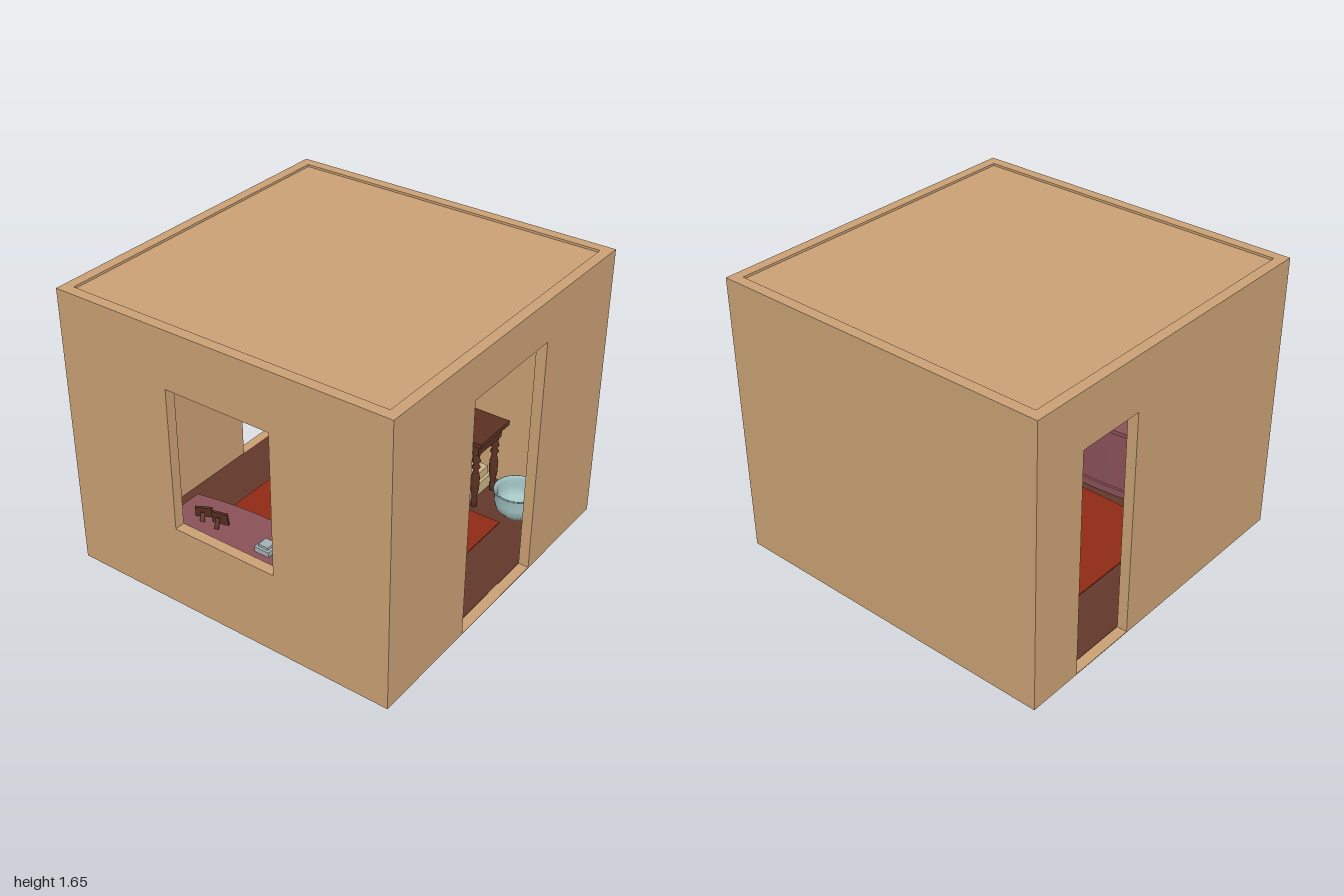
import * as THREE from 'three';

const WALL = 0xc9a074, FLOOR = 0x62382a, DARK = 0x5a3022, OLIVE = 0xb0a83c;
const FLOOR_Y = 0.014;

const mat = (color, side = THREE.FrontSide) => new THREE.MeshStandardMaterial({ color, side });

function add(parent, name, geo, color, x = 0, y = 0, z = 0, side) {
  const m = new THREE.Mesh(geo, mat(color, side));
  m.name = name;
  m.position.set(x, y, z);
  parent.add(m);
  return m;
}

// box placed by its min and max corners
function box(parent, name, a, b, color) {
  const s = b.map((v, i) => v - a[i]), c = b.map((v, i) => (v + a[i]) / 2);
  return add(parent, name, new THREE.BoxGeometry(...s), color, ...c);
}

const lathe = (pts, n = 24) => new THREE.LatheGeometry(pts.map(p => new THREE.Vector2(...p)), n);

function group(parent, name, x = 0, y = 0, z = 0) {
  const g = new THREE.Group();
  g.name = name;
  g.position.set(x, y, z);
  parent.add(g);
  return g;
}

// wall outline, with a doorway cut up from the floor
function doorWall(z0, z1, top) {
  const pts = [[-0.94, 0.006], [-z1, 0.006], [-z1, top], [-z0, top], [-z0, 0.006], [0.94, 0.006], [0.94, 1.655], [-0.94, 1.655]];
  const geo = new THREE.ExtrudeGeometry(new THREE.Shape(pts.map(p => new THREE.Vector2(...p))), { depth: 0.06, bevelEnabled: false });
  return geo.rotateY(Math.PI / 2);
}

function buildRoom(root) {
  const room = group(root, 'room');
  // front wall with window
  const s = new THREE.Shape([[-1, 0.006], [1, 0.006], [1, 1.655], [-1, 1.655]].map(p => new THREE.Vector2(...p)));
  s.holes.push(new THREE.Path([[-0.315, 0.495], [-0.315, 1.325], [0.315, 1.325], [0.315, 0.495]].map(p => new THREE.Vector2(...p))));
  add(room, 'frontWall', new THREE.ExtrudeGeometry(s, { depth: 0.06, bevelEnabled: false }), WALL, 0, 0, 0.94);
  box(room, 'backWall', [-1, 0.006, -1], [1, 1.655, -0.94], WALL);
  add(room, 'leftWall', doorWall(-0.333, 0.333, 1.415), WALL, 0.94);
  add(room, 'rightWall', doorWall(-0.675, -0.265, 1.34), WALL, -1);
  box(room, 'leftThreshold', [0.94, 0.006, -0.333], [1, 0.011, 0.333], WALL);
  box(room, 'rightThreshold', [-1, 0.006, -0.675], [-0.94, 0.011, -0.265], WALL);
  box(room, 'floor', [-0.94, 0.008, -0.94], [0.94, FLOOR_Y, 0.94], FLOOR);
  box(room, 'ceiling', [-0.94, 1.635, -0.94], [0.94, 1.642, 0.94], WALL);
  box(room, 'rug', [-0.64, FLOOR_Y, -0.58], [0.67, 0.02, 0.58], 0x8f2a16);
}

function buildTable(root) {
  const t = group(root, 'table');
  box(t, 'tableTop', [-0.14, 0.455, -0.89], [0.52, 0.482, -0.58], DARK);
  box(t, 'tableApron', [-0.11, 0.38, -0.86], [0.49, 0.455, -0.61], DARK);
  const leg = lathe([[0, 0], [0.015, 0], [0.02, 0.04], [0.014, 0.06], [0.024, 0.12], [0.026, 0.2], [0.014, 0.25],
    [0.026, 0.27], [0.014, 0.29], [0.026, 0.31], [0.02, 0.33], [0.02, 0.38]], 16);
  for (const x of [-0.085, 0.465]) for (const z of [-0.835, -0.635]) add(t, 'tableLeg', leg, DARK, x, FLOOR_Y, z);
  // stacked boxes under the table
  box(t, 'lowerStorageBox', [0.14, FLOOR_Y, -0.88], [0.43, 0.09, -0.66], 0xc9b083);
  box(t, 'upperStorageBox', [0.17, 0.09, -0.87], [0.41, 0.14, -0.69], 0xc9b083);
}

function buildLamp(root) {
  const l = group(root, 'tableLamp', 0.122, 0.482, -0.77);
  add(l, 'lampStand', lathe([[0, 0], [0.035, 0], [0.035, 0.012], [0.014, 0.03], [0.017, 0.06], [0.009, 0.17], [0.015, 0.2],
    [0.009, 0.215], [0.009, 0.3], [0, 0.3]], 20), OLIVE);
  add(l, 'lampShade', lathe([[0.123, 0.237], [0.116, 0.275], [0.085, 0.325], [0.05, 0.375], [0.022, 0.4], [0, 0.407]], 32),
    OLIVE, 0, 0, 0, THREE.DoubleSide);
}

function buildDresser(root) {
  const d = group(root, 'dresser');
  const color = 0x8a5058;
  // bowed body, plinth and top
  const slab = (grow, y0, y1, name) => {
    const s = new THREE.Shape();
    const w = 0.44 + grow;
    s.moveTo(-w, -0.93);
    s.lineTo(w, -0.93);
    s.lineTo(w, -0.69 + grow);
    s.quadraticCurveTo(0, -0.59 + grow, -w, -0.69 + grow);
    const geo = new THREE.ExtrudeGeometry(s, { depth: y1 - y0, bevelEnabled: false, curveSegments: 16 });
    add(d, name, geo.rotateX(-Math.PI / 2), color, 0, y0);
  };
  slab(0.015, FLOOR_Y, 0.06, 'dresserPlinth');
  slab(0, 0.06, 0.435, 'dresserBody');
  slab(0.02, 0.435, 0.46, 'dresserTop');
  // leaning picture frames
  for (const [x, h, turn] of [[-0.3, 0.065, 0.5], [-0.19, 0.08, 0.25], [0.305, 0.14, 1.45]]) {
    const f = group(d, 'pictureFrame', x, 0.46, 0.8);
    f.rotation.y = turn + Math.PI;
    const p = box(f, 'framePanel', [-0.045, 0, -0.006], [0.045, h, 0.006], DARK);
    p.rotation.x = -0.2;
    const strut = box(f, 'frameStrut', [-0.012, 0, -0.04], [0.012, h * 0.75, -0.034], DARK);
    strut.rotation.x = 0.4;
  }
  // small grey box
  box(d, 'trinketBox', [0.09, 0.46, 0.78], [0.18, 0.488, 0.87], 0xa3b0b5);
  box(d, 'trinketBoxLid', [0.105, 0.488, 0.795], [0.165, 0.502, 0.855], 0xa3b0b5);
}

function buildChair(root) {
  const c = group(root, 'chair', -0.34, FLOOR_Y, -0.7);
  const color = 0x6e5030;
  box(c, 'seat', [-0.17, 0.27, -0.15], [0.17, 0.3, 0.17], color);
  for (const s of [-1, 1]) {
    const x = s * 0.155;
    box(c, 'frontLeg', [x - 0.015, 0, 0.13], [x + 0.015, 0.27, 0.16], color);
    box(c, 'backLeg', [x - 0.015, 0, -0.15], [x + 0.015, 0.62, -0.12], color);
    box(c, 'sideRail', [x - 0.008, 0.11, -0.12], [x + 0.008, 0.13, 0.13], color);
  }
  for (const y of [0.42, 0.55]) box(c, 'backSlat', [-0.14, y, -0.143], [0.14, y + 0.05, -0.127], color);
}

function buildPedestalVase(root) {
  const p = group(root, 'flowerStand', 0.69, 0, 0.675);
  const color = 0x8d7f4c;
  box(p, 'standBase', [-0.09, 0, -0.09], [0.09, 0.04, 0.09], color);
  add(p, 'standColumn', lathe([[0.085, 0.04], [0.075, 0.1], [0.045, 0.25], [0.035, 0.45], [0.05, 0.6], [0.085, 0.64], [0.085, 0.66], [0, 0.66]]), color);
  add(p, 'vase', lathe([[0, 0.66], [0.045, 0.66], [0.05, 0.69], [0.09, 0.8], [0.095, 0.87], [0.06, 0.97], [0.035, 1.01], [0.05, 1.04]]),
    color, 0, 0, 0, THREE.DoubleSide);
  // stems and blossoms
  for (let i = 0; i < 6; i++) {
    const a = i / 6 * Math.PI * 2, r = 0.07, y = 1.13 + 0.05 * (i % 2);
    const tip = new THREE.Vector3(Math.cos(a) * r, y, Math.sin(a) * r);
    const curve = new THREE.QuadraticBezierCurve3(new THREE.Vector3(0, 0.9, 0), new THREE.Vector3(0, 1.06, 0), tip);
    add(p, 'flowerStem', new THREE.TubeGeometry(curve, 8, 0.004, 5), 0x4d6b2c);
    const b = add(p, 'blossom', lathe([[0, -0.025], [0.015, -0.01], [0.03, 0.02], [0.04, 0.025]], 8), 0xb02a18, tip.x, tip.y, tip.z, THREE.DoubleSide);
    b.rotation.set(Math.sin(a) * 0.7, 0, -Math.cos(a) * 0.7);
  }
}

export function createModel() {
  const root = new THREE.Group();
  root.name = 'furnishedRoom';
  buildRoom(root);
  buildTable(root);
  buildLamp(root);
  buildDresser(root);
  buildChair(root);
  buildPedestalVase(root);
  // wash basin
  add(root, 'basin', lathe([[0, 0], [0.085, 0], [0.12, 0.04], [0.132, 0.09], [0.125, 0.14], [0.14, 0.155], [0.13, 0.16],
    [0.115, 0.14], [0.12, 0.09], [0.1, 0.04], [0, 0.02]], 28), 0x9fc0c0, 0.69, FLOOR_Y, -0.73, THREE.DoubleSide);
  return root;
}
